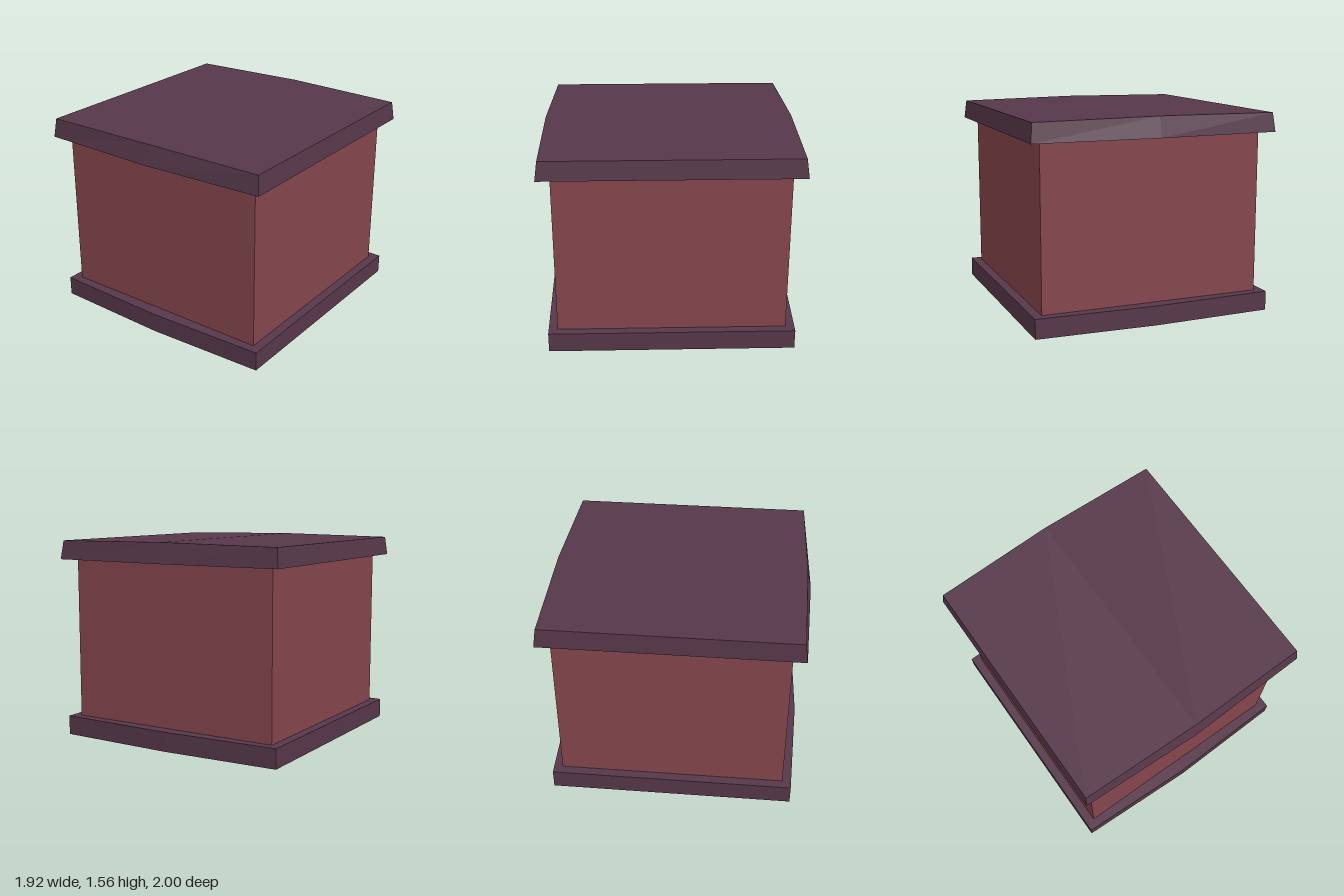
import * as THREE from 'three';

const trim = new THREE.MeshStandardMaterial({ color: 0x563749 });
trim.name = 'plum trim';
const wall = new THREE.MeshStandardMaterial({ color: 0x84454c });
wall.name = 'dusty red wall';

// Slab whose front and back bow out at the middle; each end has its own half width, corner depth and middle depth
function bowedSlab(bottom, top) {
  const box = new THREE.BoxGeometry(2, 1, 2, 2, 1, 1);
  const p = box.attributes.position;
  for (let i = 0; i < p.count; i++) {
    const end = p.getY(i) > 0 ? top : bottom;
    const middle = Math.abs(p.getX(i)) < 0.01;
    p.setXYZ(
      i,
      p.getX(i) * end.halfWidth,
      middle ? end.middleY : end.y,
      p.getZ(i) * (middle ? end.middleDepth : end.depth)
    );
  }
  const flat = box.toNonIndexed();
  flat.computeVertexNormals();
  return flat;
}

function addPart(group, name, geometry, material) {
  const mesh = new THREE.Mesh(geometry, material);
  mesh.name = name;
  group.add(mesh);
  return mesh;
}

export function createModel() {
  const model = new THREE.Group();
  model.name = 'lidded box';

  // Plinth with straight sides
  const plinth = { halfWidth: 0.94, depth: 0.935, middleDepth: 0.967 };
  addPart(model, 'base', bowedSlab(
    { ...plinth, y: 0, middleY: 0 },
    { ...plinth, y: 0.15, middleY: 0.15 }
  ), trim);

  // Plain square body
  addPart(model, 'body', new THREE.BoxGeometry(1.738, 1.25, 1.738), wall).position.y = 0.775;

  // Tapered lid with a slight ridge from front to back
  addPart(model, 'lid', bowedSlab(
    { halfWidth: 0.96, depth: 0.965, middleDepth: 1, y: 1.4, middleY: 1.4 },
    { halfWidth: 0.945, depth: 0.945, middleDepth: 0.967, y: 1.545, middleY: 1.556 }
  ), trim);

  return model;
}
